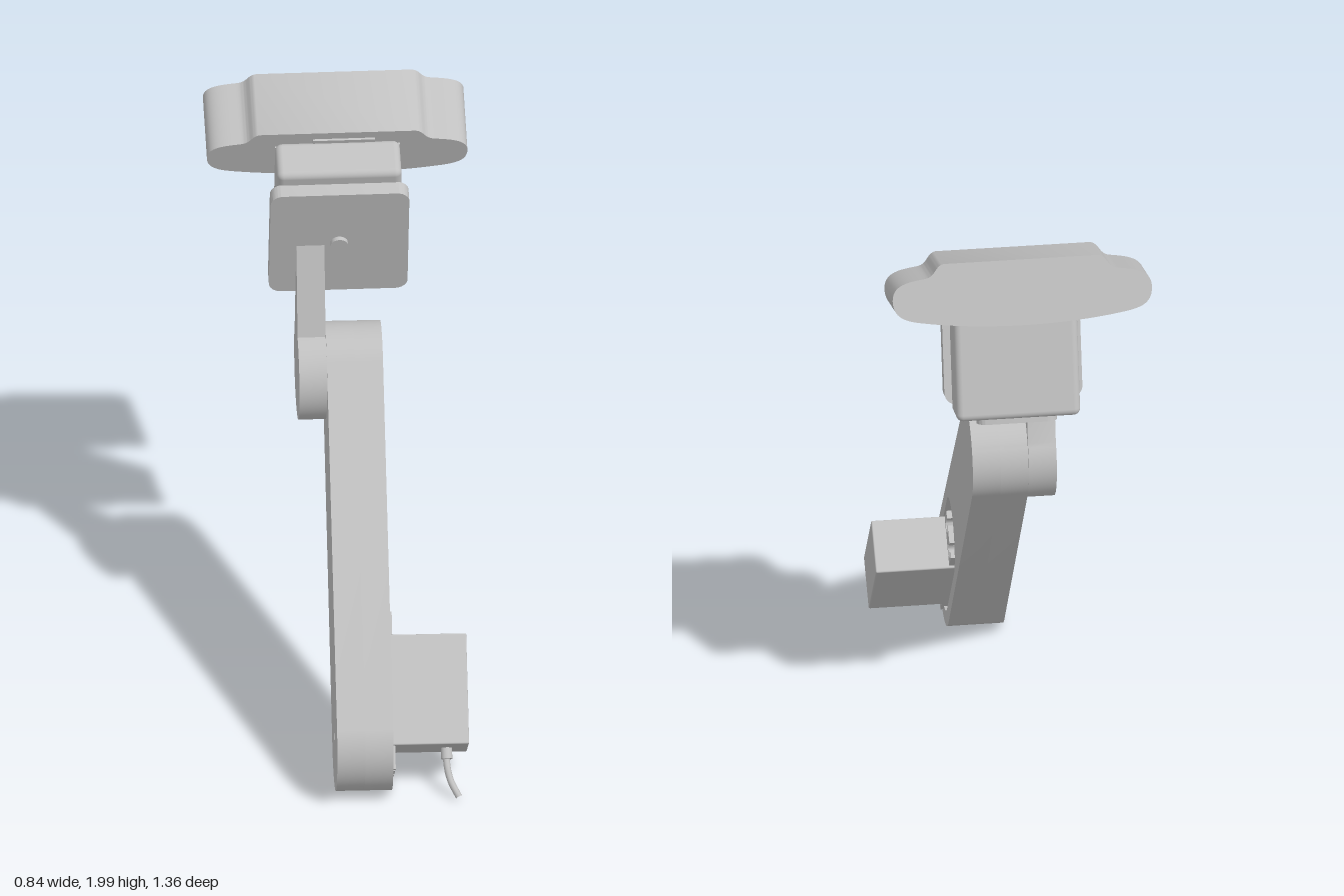
import * as THREE from 'three';
import { toCreasedNormals } from 'three/addons/utils/BufferGeometryUtils.js';
import { RoundedBoxGeometry } from 'three/addons/geometries/RoundedBoxGeometry.js';

const grey = new THREE.MeshStandardMaterial({ color: 0xc0c0c0 });
grey.name = 'light grey plastic';

function add(parent, name, geometry, x = 0, y = 0, z = 0) {
  const mesh = new THREE.Mesh(geometry, grey);
  mesh.name = name;
  mesh.position.set(x, y, z);
  parent.add(mesh);
  return mesh;
}

function addGroup(parent, name, x, y, z, tilt) {
  const group = new THREE.Group();
  group.name = name;
  group.position.set(x, y, z);
  group.rotation.x = tilt;
  parent.add(group);
  return group;
}

function extrude(shape, depth) {
  const g = new THREE.ExtrudeGeometry(shape, { depth, bevelEnabled: false, curveSegments: 24 });
  return toCreasedNormals(g, 0.5);
}

// Side profile (shape x = -z) extruded along +x
const extrudeSide = (shape, depth) => extrude(shape, depth).rotateY(Math.PI / 2);

// Two circles of radius r1 and r2, length apart, joined by tangents
function capsule(r1, r2, length, Type = THREE.Shape) {
  const b = Math.asin((r1 - r2) / length);
  const s = new Type();
  s.absarc(0, 0, r1, Math.PI - b, 2 * Math.PI + b, false);
  s.absarc(0, length, r2, b, Math.PI - b, false);
  s.closePath();
  return s;
}

function roundedRect(w, h, r) {
  const s = new THREE.Shape();
  s.absarc(w / 2 - r, h / 2 - r, r, 0, Math.PI / 2);
  s.absarc(r - w / 2, h / 2 - r, r, Math.PI / 2, Math.PI);
  s.absarc(r - w / 2, r - h / 2, r, Math.PI, Math.PI * 1.5);
  s.absarc(w / 2 - r, r - h / 2, r, Math.PI * 1.5, Math.PI * 2);
  s.closePath();
  return s;
}

function buildArm(root) {
  const arm = addGroup(root, 'lowerArm', 0.028, 0.185, 0.51, -0.705);
  arm.rotation.z = -0.01;

  // Solid back half with a small pivot hole, open front half with the motor pocket
  const back = capsule(0.177, 0.157, 1.184);
  back.holes.push(new THREE.Path().absarc(0, 0, 0.014, 0, Math.PI * 2, true));
  add(arm, 'armBack', extrudeSide(back, 0.09), -0.09);
  const rim = capsule(0.177, 0.157, 1.184);
  rim.holes.push(capsule(0.128, 0.128, 0.337, THREE.Path));
  add(arm, 'armPocketRim', extrudeSide(rim, 0.09), 0);

  // Motor body
  const mid = 0.133;
  add(arm, 'motorBody', new RoundedBoxGeometry(0.337, 0.358, 0.177, 2, 0.005), 0.1685, mid, -0.008);

  // Mounting lugs with two open screw slots, at both ends of the motor
  const lug = new THREE.Shape();
  lug.moveTo(-0.08, 0.165);
  lug.lineTo(-0.08, 0.255);
  for (const c of [-0.042, 0.042]) {
    lug.lineTo(c - 0.012, 0.255);
    lug.absarc(c, 0.215, 0.022, Math.PI * 0.68, Math.PI * 2.32, false);
    lug.lineTo(c + 0.012, 0.255);
  }
  lug.lineTo(0.08, 0.255);
  lug.lineTo(0.08, 0.165);
  for (const end of [0, Math.PI]) {
    const mesh = add(arm, 'motorLug', extrudeSide(lug, 0.03), 0.07, mid, -0.008);
    mesh.rotation.x = end;
  }
}

function buildCable(root) {
  const path = new THREE.CatmullRomCurve3([
    [0.295, 0.155, 0.525], [0.295, 0.1, 0.572], [0.305, 0.06, 0.6], [0.33, 0.02, 0.637],
  ].map((p) => new THREE.Vector3(...p)));
  add(root, 'cable', new THREE.TubeGeometry(path, 20, 0.011, 10));
  const collar = add(root, 'cableCollar', new THREE.CylinderGeometry(0.018, 0.018, 0.05, 16), 0.295, 0.135, 0.542);
  collar.rotation.x = -0.705;
}

function buildLink(root) {
  // Round hub tapering up into a slim bar
  const s = new THREE.Shape();
  s.moveTo(0.24, 1.557);
  s.absarc(0.257, 1.087, 0.156, 1.83, 0.63 + Math.PI * 2, false);
  s.lineTo(0.29, 1.557);
  s.closePath();
  add(root, 'upperLink', extrudeSide(s, 0.09), -0.14);
}

function buildHead(root) {
  const head = addGroup(root, 'headBox', -0.003, 1.598, -0.397, 0.284);
  add(head, 'headBody', new RoundedBoxGeometry(0.4, 0.525, 0.148, 4, 0.022));
  add(head, 'headPlate', extrude(roundedRect(0.445, 0.455, 0.04), 0.05), 0, -0.012, 0.072);
  const knob = add(head, 'plateKnob', new THREE.CylinderGeometry(0.028, 0.028, 0.02, 24), 0, -0.012, 0.127);
  knob.rotation.x = Math.PI / 2;
  // Pill-shaped foot on the underside
  const foot = extrude(capsule(0.035, 0.035, 0.19).clone(), 0.03);
  foot.translate(0, -0.095, 0).rotateZ(Math.PI / 2).rotateX(Math.PI / 2);
  add(head, 'headFoot', foot, 0, -0.255, 0);
}

function buildCamera(root) {
  const cam = addGroup(root, 'camera', -0.002, 1.855, -0.524, 0.367);
  // Right half of the outline, mirrored: raised centre, rounded wings, bowed underside
  const half = new THREE.Path();
  half.moveTo(0.25, 0.107);
  half.bezierCurveTo(0.28, 0.1, 0.275, 0.068, 0.31, 0.062);
  half.bezierCurveTo(0.36, 0.055, 0.418, 0.05, 0.418, -0.005);
  half.bezierCurveTo(0.418, -0.06, 0.38, -0.072, 0.33, -0.081);
  half.bezierCurveTo(0.22, -0.1, 0.1, -0.107, 0, -0.107);
  const right = half.getPoints(14);
  const left = right.slice(0, -1).reverse().map((p) => new THREE.Vector2(-p.x, p.y));
  add(cam, 'cameraBody', extrude(new THREE.Shape([...right, ...left]), 0.245), 0, 0, -0.1225);
  // Clip ledges on the front face
  add(cam, 'clipLedge', new THREE.BoxGeometry(0.4, 0.02, 0.012), 0, 0.035, 0.124);
  add(cam, 'clipTab', new THREE.BoxGeometry(0.2, 0.014, 0.012), 0.02, 0.07, 0.124);
}

export function createModel() {
  const root = new THREE.Group();
  root.name = 'cameraArm';
  buildArm(root);
  buildCable(root);
  buildLink(root);
  buildHead(root);
  buildCamera(root);
  return root;
}
